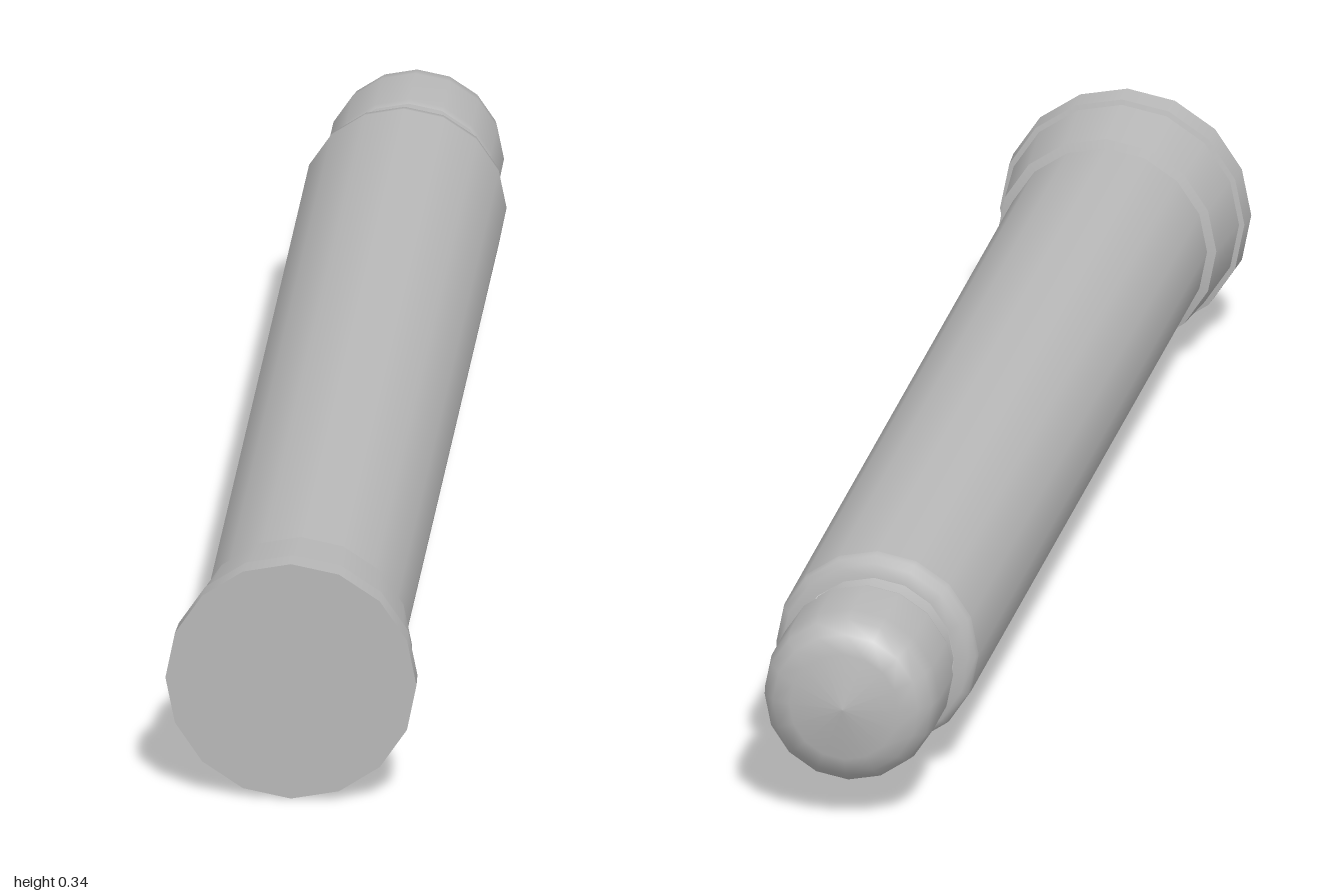
import * as THREE from 'three';

const SIDES = 16;
const RADIUS = 0.17;

export function createModel() {
  const model = new THREE.Group();
  model.name = 'pin';
  const grey = new THREE.MeshStandardMaterial({ color: 0xb8b8b8 });
  grey.name = 'plain grey';

  // A part is a group of smooth lathed runs; edges between runs stay sharp.
  // Each profile point is [radius, position along the axis, front to back].
  function part(name, runs) {
    const group = new THREE.Group();
    group.name = name;
    runs.forEach((run, i) => {
      const points = run.map(([r, s]) => new THREE.Vector2(r, s));
      const geometry = new THREE.LatheGeometry(points, SIDES);
      geometry.rotateX(-Math.PI / 2);
      geometry.translate(0, RADIUS, 0);
      const mesh = new THREE.Mesh(geometry, grey);
      mesh.name = `${name}Surface${i + 1}`;
      group.add(mesh);
    });
    model.add(group);
  }

  // Flat disc at the front end
  part('flange', [
    [[0, -1], [0.17, -1]],
    [[0.17, -1], [0.168, -0.962]],
    [[0.168, -0.962], [0.161, -0.96]],
  ]);

  // Tapered sleeve behind the flange
  part('collar', [
    [[0.161, -0.96], [0.151, -0.852]],
    [[0.151, -0.852], [0.139, -0.848]],
  ]);

  // Long shaft with a softened rear shoulder
  part('shaft', [
    [[0.139, -0.85], [0.139, 0.752]],
    [[0.139, 0.752], [0.137, 0.764], [0.128, 0.772], [0.11, 0.776]],
  ]);

  // Narrow groove below the tip
  part('neck', [
    [[0.109, 0.775], [0.104, 0.795], [0.103, 0.825]],
  ]);

  // Rounded tip with a shallow cone on its end
  part('tip', [
    [[0.102, 0.822], [0.117, 0.826]],
    [[0.117, 0.826], [0.12, 0.835], [0.12, 0.93], [0.115, 0.957],
      [0.1, 0.977], [0.075, 0.988], [0, 1]],
  ]);

  return model;
}
